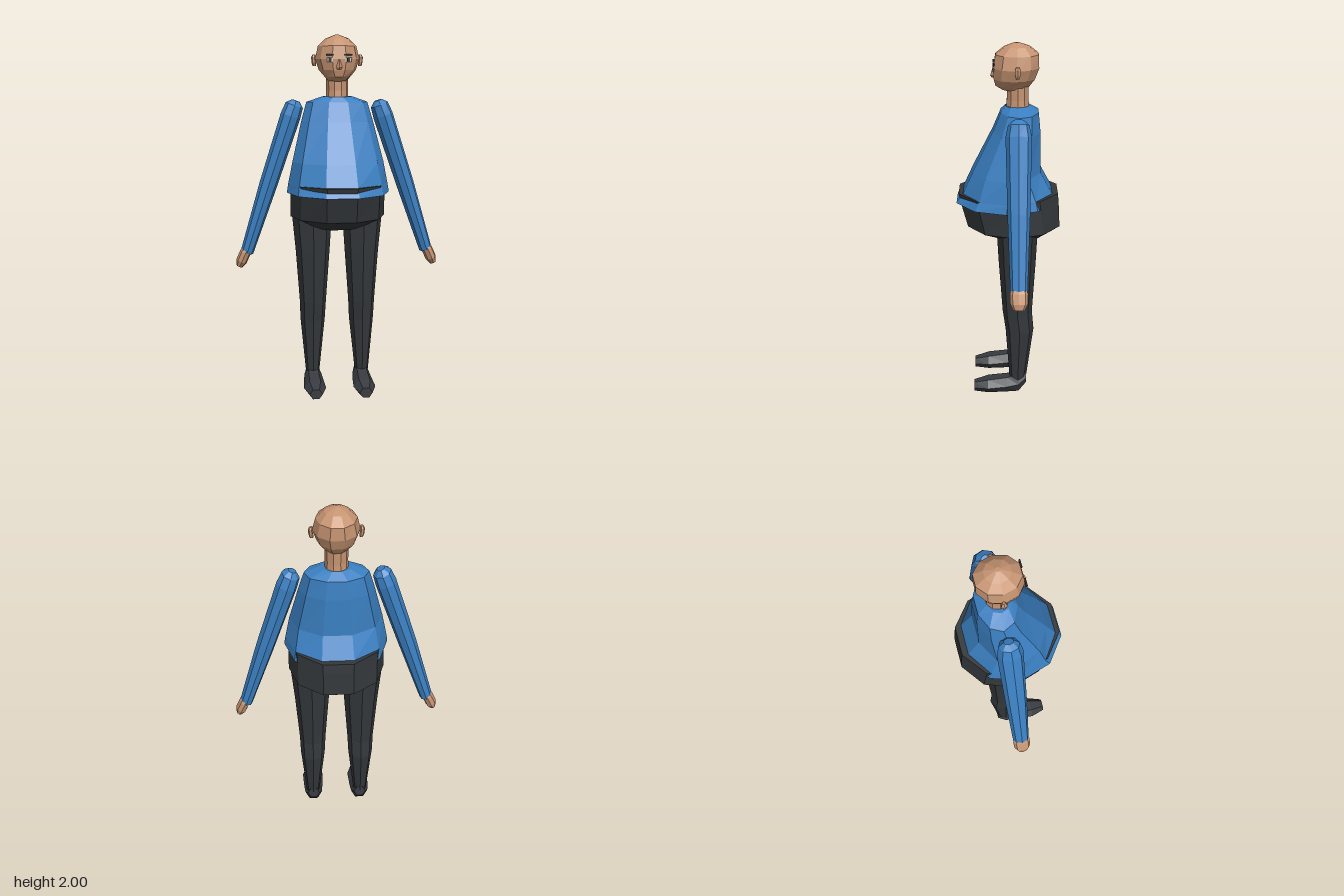
import * as THREE from 'three';

const mat = (name, color) => Object.assign(new THREE.MeshStandardMaterial({ color }), { name });

// Faceted skin through a list of rings, closed at both ends
function loft(rings) {
  const n = rings[0].length, pos = [];
  const tri = (...p) => p.forEach(v => pos.push(v.x, v.y, v.z));
  for (let r = 0; r < rings.length - 1; r++) {
    for (let i = 0; i < n; i++) {
      const j = (i + 1) % n, a = rings[r], b = rings[r + 1];
      tri(a[i], a[j], b[j]);
      tri(a[i], b[j], b[i]);
    }
  }
  const first = rings[0], last = rings[rings.length - 1];
  for (let i = 1; i < n - 1; i++) {
    tri(first[0], first[i + 1], first[i]);
    tri(last[0], last[i], last[i + 1]);
  }
  const g = new THREE.BufferGeometry();
  g.setAttribute('position', new THREE.Float32BufferAttribute(pos, 3));
  g.computeVertexNormals();
  return g;
}

// Elliptical ring around centre c, spanned by u and v
function ring(c, u, v, n, turn = 0) {
  return Array.from({ length: n }, (_, i) => {
    const a = (i + turn) / n * Math.PI * 2;
    return c.clone().addScaledVector(u, Math.cos(a)).addScaledVector(v, Math.sin(a));
  });
}
const V = (x, y, z) => new THREE.Vector3(x, y, z);

// Upright body from rows of [y, half width, front z, back z], bottom first
function body(rows, n = 10, x = () => 0) {
  const k = n === 10 ? 0.951 : 1;
  return loft(rows.map(([y, rx, zf, zb], i) =>
    ring(V(x(i), y, (zf + zb) / 2), V(rx, 0, 0), V(0, 0, -(zf - zb) / 2 / k), n)));
}

// Limb from rows of [x, y, half width, half depth], lowest first
function limb(rows, side, z, n = 8) {
  return loft(rows.map(([x, y, ru, rz], i) => {
    const a = rows[Math.max(i - 1, 0)], b = rows[Math.min(i + 1, rows.length - 1)];
    const d = V((b[0] - a[0]) * side, b[1] - a[1], 0).normalize();
    return ring(V(x * side, y, z), V(d.y * ru, -d.x * ru, 0), V(0, 0, -rz), n);
  }));
}

export function createModel() {
  const model = new THREE.Group();
  model.name = 'standingMan';
  const skin = mat('skin', 0xc69472);
  const sweaterBlue = mat('sweaterBlue', 0x3b80c2);
  const trouserGrey = mat('trouserCharcoal', 0x34383b);
  const shoeGrey = mat('shoeCharcoal', 0x383b40);
  const eyeWhite = mat('eyeWhite', 0xc4ccd4);
  const dark = mat('browDark', 0x2a211d);

  const add = (name, geo, material, x = 0, y = 0, z = 0) => {
    const m = new THREE.Mesh(geo, material);
    m.name = name;
    m.position.set(x, y, z);
    model.add(m);
    return m;
  };

  // Head and neck
  add('head', body([
    [1.75, 0.05, 0.03, -0.09], [1.775, 0.072, 0.07, -0.112], [1.81, 0.102, 0.079, -0.138],
    [1.87, 0.122, 0.082, -0.16], [1.94, 0.106, 0.07, -0.158], [1.98, 0.064, 0.02, -0.11],
    [2.0, 0.012, -0.03, -0.055],
  ]), skin);
  add('neck', body([[1.64, 0.064, 0.015, -0.11], [1.7, 0.06, 0.01, -0.106], [1.79, 0.062, 0.01, -0.106]]), skin);
  add('nose', loft([
    ring(V(0, 1.815, 0.075), V(0.016, 0, 0), V(0, 0, -0.016), 4),
    ring(V(0, 1.826, 0.08), V(0.017, 0, 0), V(0, 0, -0.018), 4),
    ring(V(0, 1.868, 0.078), V(0.007, 0, 0), V(0, 0, -0.007), 4),
  ]), skin);

  // Torso, with the trouser rim showing just above the hem
  add('sweater', body([
    [1.14, 0.285, 0.285, -0.258], [1.19, 0.277, 0.25, -0.236], [1.31, 0.253, 0.195, -0.172],
    [1.53, 0.2, 0.085, -0.17], [1.635, 0.17, 0.042, -0.16], [1.665, 0.085, 0.016, -0.112],
  ]), sweaterBlue);
  add('trouserSeat', body([
    [0.935, 0.14, 0.08, -0.2], [1.0, 0.264, 0.224, -0.28],
    [1.14, 0.264, 0.262, -0.273], [1.192, 0.268, 0.273, -0.268],
  ]), trouserGrey);

  for (const s of [1, -1]) {
    const side = s > 0 ? 'left' : 'right';

    // Face details and ear
    add(side + 'Eye', new THREE.BoxGeometry(0.034, 0.022, 0.006), eyeWhite, s * 0.05, 1.866, 0.079);
    add(side + 'Pupil', new THREE.BoxGeometry(0.015, 0.02, 0.004), dark, s * 0.05, 1.866, 0.083);
    add(side + 'Brow', new THREE.BoxGeometry(0.042, 0.009, 0.009), dark, s * 0.05, 1.893, 0.08);
    add(side + 'Ear', loft([
      ring(V(s * 0.125, 1.832, -0.046), V(0.01, 0, 0), V(0, 0, -0.01), 6),
      ring(V(s * 0.129, 1.85, -0.046), V(0.012, 0, 0), V(0, 0, -0.015), 6),
      ring(V(s * 0.131, 1.88, -0.046), V(0.012, 0, 0), V(0, 0, -0.016), 6),
      ring(V(s * 0.127, 1.893, -0.046), V(0.008, 0, 0), V(0, 0, -0.009), 6),
    ]), skin);

    // Arm and hand
    add(side + 'Sleeve', limb([
      [0.51, 0.795, 0.036, 0.045], [0.385, 1.18, 0.05, 0.059], [0.258, 1.56, 0.056, 0.068],
      [0.237, 1.618, 0.05, 0.055], [0.228, 1.643, 0.022, 0.026],
    ], s, -0.05), sweaterBlue);
    add(side + 'Hand', limb([
      [0.554, 0.715, 0.018, 0.028], [0.541, 0.745, 0.031, 0.045],
      [0.519, 0.795, 0.031, 0.048], [0.508, 0.825, 0.024, 0.034],
    ], s, -0.05), skin);

    // Leg
    const legX = [0.142, 0.14, 0.139, 0.139, 0.142];
    add(side + 'Leg', body([
      [0.08, 0.038, -0.005, -0.098], [0.4, 0.07, 0.018, -0.14], [0.51, 0.075, 0.034, -0.13],
      [0.8, 0.096, 0.055, -0.148], [1.0, 0.112, 0.066, -0.158],
    ], 8, i => s * legX[i]), trouserGrey);

    // Shoe from heel to toe: [z, bottom, top, half width]
    add(side + 'Shoe', loft([
      [-0.1, 0.06, 0.13, 0.034], [-0.055, 0.006, 0.115, 0.05], [0.01, 0.003, 0.094, 0.056],
      [0.12, 0, 0.08, 0.062], [0.2, 0.004, 0.058, 0.036],
    ].map(([z, lo, hi, w]) =>
      ring(V(s * 0.14, (lo + hi) / 2, z), V(w, 0, 0), V(0, (hi - lo) / 2 / 0.866, 0), 6))), shoeGrey);
  }
  return model;
}
